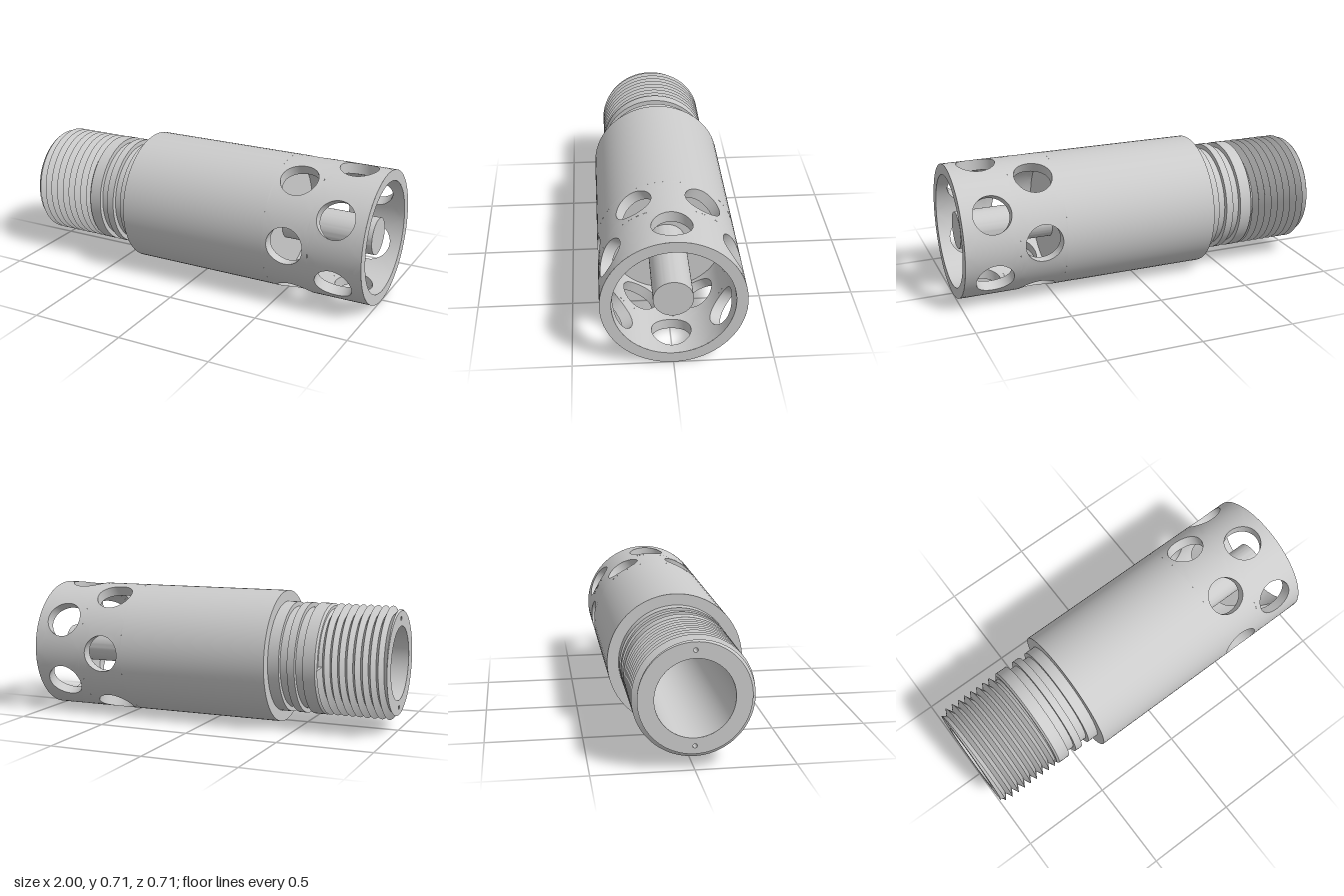
import * as THREE from 'three';
import { mergeGeometries, toCreasedNormals } from 'three/addons/utils/BufferGeometryUtils.js';

const TAU = Math.PI * 2;
const AXIS_Y = 0.357;
const R_OUT = 0.357, R_IN = 0.3;      // perforated sleeve
const R_BORE = 0.195, R_FACE = 0.275; // threaded end
const R_HOLE = 0.1;
const lerp = THREE.MathUtils.lerp, clamp = THREE.MathUtils.clamp;

// Point on a cylinder around the x axis, angle 0 facing the front
const polar = (x, r, t) => [x, r * Math.sin(t), r * Math.cos(t)];

// Surface from a rule fn(u, v) => [x, y, z]
function grid(nu, nv, fn, flip = false) {
  const pos = [], idx = [];
  for (let i = 0; i <= nu; i++)
    for (let j = 0; j <= nv; j++) pos.push(...fn(i / nu, j / nv));
  for (let i = 0; i < nu; i++)
    for (let j = 0; j < nv; j++) {
      const a = i * (nv + 1) + j, b = a + nv + 1;
      if (flip) idx.push(a, b + 1, b, a, a + 1, b + 1);
      else idx.push(a, b, b + 1, a, b + 1, a + 1);
    }
  const g = new THREE.BufferGeometry();
  g.setAttribute('position', new THREE.Float32BufferAttribute(pos, 3));
  g.setIndex(idx);
  return g;
}

// Turned part along x from [radius, x] pairs
function turned(points) {
  const g = new THREE.LatheGeometry(points.map(p => new THREE.Vector2(...p)), 72);
  return toCreasedNormals(g.rotateZ(-Math.PI / 2), 0.4);
}

// Sixty degree piece of the sleeve with one round hole in it
function holePatch(t0, xc, xa, xb) {
  const skin = r => (u, v) => {
    const a = v * TAU, c = Math.cos(a), s = Math.sin(a);
    const k = 1 / Math.max(Math.abs(c), Math.abs(s));
    const xEdge = xc + c * k * (c > 0 ? xb - xc : xc - xa);
    const tEdge = s * k * Math.PI / 6;
    const x = lerp(xc + R_HOLE * c, xEdge, u);
    const t = lerp(Math.asin(R_HOLE * s / r), tEdge, u);
    return polar(x, r, t0 + t);
  };
  const outer = skin(R_OUT), inner = skin(R_IN);
  const wall = (u, v) => {
    const p = inner(0, v), q = outer(0, v);
    return p.map((n, i) => lerp(n, q[i], u));
  };
  return [grid(4, 48, outer), grid(4, 48, inner, true), grid(1, 48, wall)];
}

export function createModel() {
  const model = new THREE.Group();
  const mat = new THREE.MeshStandardMaterial({ color: 0xcccccc, side: THREE.DoubleSide });
  const add = (name, geometry) => {
    const m = new THREE.Mesh(geometry, mat);
    m.name = name;
    model.add(m);
  };

  // Blind bore in the threaded end
  add('bore', turned([[0, 0.3], [R_BORE, 0.3], [R_BORE, -1]]));

  // Grooved neck, shoulder, main barrel and floor of the open cavity
  add('body', turned([
    [0.25, -0.64], [0.285, -0.64], [0.298, -0.63], [0.298, -0.565],
    [0.273, -0.565], [0.273, -0.52], [0.298, -0.52], [0.298, -0.48],
    [0.273, -0.48], [0.273, -0.435], [0.298, -0.435], [0.298, -0.375],
    [R_OUT, -0.375], [R_OUT, 0.46], [0, 0.46],
  ]));

  // Helical thread, clamped at both ends with a lead-in chamfer
  const rows = 20, half = 0.02;
  const thread = grid(rows, 96, (u, v) => {
    const i = Math.round(u * rows);
    const x = clamp(-1 + half * (i - 2 * v), -1, -0.64);
    let r = i % 2 ? 0.298 : 0.262;
    if (x <= -1) r = R_FACE;
    else if (x >= -0.64) r = 0.27;
    return polar(x, Math.min(r, R_FACE + (x + 1) * 0.8), v * TAU);
  });
  add('thread', toCreasedNormals(thread, 0.5));

  // Threaded end face with two small pin holes
  const face = new THREE.Shape().absarc(0, 0, R_FACE, 0, TAU);
  face.holes.push(new THREE.Path().absarc(0, 0, R_BORE, 0, TAU));
  for (const s of [1, -1]) {
    face.holes.push(new THREE.Path().absarc(0, s * 0.235, 0.011, 0, TAU));
    const pinHole = new THREE.CylinderGeometry(0.011, 0.011, 0.06, 16, 1, true);
    add('pinHole', pinHole.rotateZ(Math.PI / 2).translate(-0.97, s * 0.235, 0));
  }
  add('endFace', new THREE.ShapeGeometry(face, 48).rotateY(-Math.PI / 2).translate(-1, 0, 0));

  // Perforated sleeve: two staggered rows of six holes
  const patches = [];
  for (let i = 0; i < 6; i++) {
    const t = i * Math.PI / 3;
    patches.push(...holePatch(t, 0.585, 0.46, 0.7125));
    patches.push(...holePatch(t + Math.PI / 6, 0.84, 0.7125, 1));
  }
  add('sleeve', toCreasedNormals(mergeGeometries(patches), 0.5));
  add('sleeveRim', turned([[R_OUT, 1], [R_IN, 1]]));

  // Centre rod standing in the cavity
  add('centreRod', turned([[0.099, 0.46], [0.099, 0.96], [0, 0.96]]));

  model.position.y = AXIS_Y;
  const root = new THREE.Group();
  root.name = 'perforatedSleeveFitting';
  root.add(model);
  return root;
}
